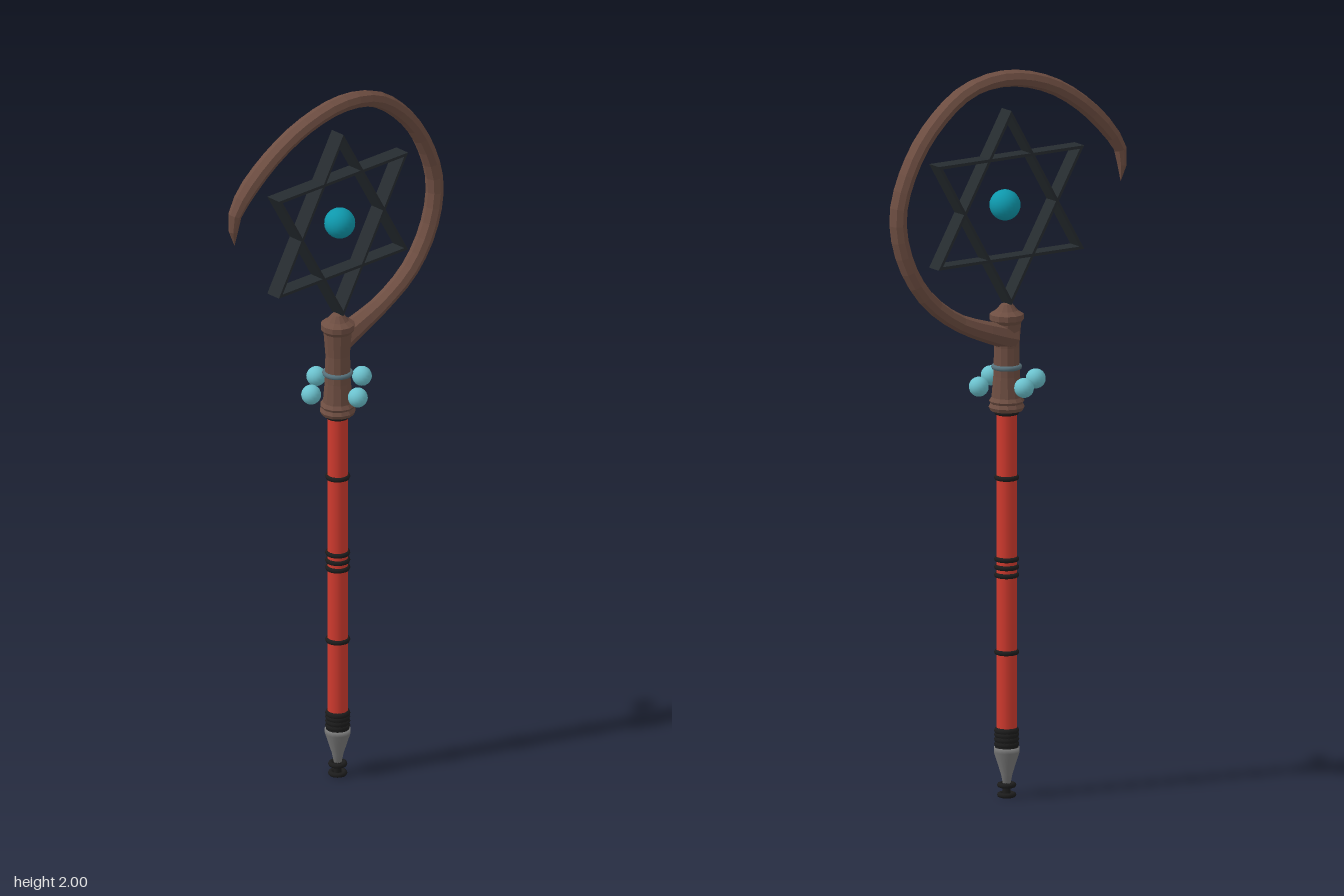
import * as THREE from 'three';

const mat = (color, flatShading = false) => new THREE.MeshStandardMaterial({ color, flatShading });
const RED = mat(0xd03a2e);
const BLACK = mat(0x1c1c1c);
const STEEL = mat(0x777777);
const WOOD = mat(0x6e4e42, true);
const IRON = mat(0x262c30, true);
const GEM = mat(0x0e98ac);
const BEAD = mat(0x6cc2ce);
const CORD = mat(0x56707a);

export function createModel() {
  const model = new THREE.Group();

  const add = (name, geometry, material, x = 0, y = 0, z = 0) => {
    const mesh = new THREE.Mesh(geometry, material);
    mesh.name = name;
    mesh.position.set(x, y, z);
    model.add(mesh);
    return mesh;
  };
  const lathe = (points, sides) =>
    new THREE.LatheGeometry(points.map(([r, y]) => new THREE.Vector2(r, y)), sides);
  const ring = (name, y, radius, tube, material) =>
    add(name, new THREE.TorusGeometry(radius, tube, 8, 24).rotateX(Math.PI / 2), material, 0, y);

  // Red shaft with dark bands
  add('shaft', new THREE.CylinderGeometry(0.028, 0.028, 0.9, 16), RED, 0, 0.62);
  for (const y of [0.4, 0.612, 0.634, 0.656, 0.88, 1.06]) ring('shaftBand', y, 0.027, 0.007, BLACK);

  // Foot: grip collar, steel point and two small discs
  for (const y of [0.147, 0.16, 0.173, 0.184]) ring('footCollar', y, 0.024, 0.01, BLACK);
  add('footCollarCore', new THREE.CylinderGeometry(0.032, 0.032, 0.05, 16), BLACK, 0, 0.163);
  add('footPoint', lathe([[0, 0.02], [0.009, 0.03], [0.016, 0.065], [0.035, 0.125], [0.035, 0.138], [0, 0.138]], 16), STEEL);
  add('footStem', new THREE.CylinderGeometry(0.011, 0.011, 0.04, 12), BLACK, 0, 0.022);
  for (const y of [0.007, 0.034]) ring('footDisc', y, 0.019, 0.007, BLACK);

  // Wooden head socket
  add('headSocket', lathe([
    [0, 1.065], [0.044, 1.065], [0.049, 1.075], [0.044, 1.085], [0.048, 1.092], [0.041, 1.102],
    [0.036, 1.16], [0.034, 1.24], [0.039, 1.305], [0.046, 1.315], [0.046, 1.33],
    [0.03, 1.34], [0.016, 1.357], [0, 1.36],
  ], 12), WOOD);

  // Curved wooden hook, a tapered sweep from the socket to the tip
  const path = new THREE.CatmullRomCurve3([
    [-0.01, 1.265, -0.005], [0.07, 1.29, -0.012], [0.177, 1.335, -0.012], [0.267, 1.41, -0.002],
    [0.328, 1.52, 0.006], [0.347, 1.645, 0.008], [0.304, 1.78, 0.005], [0.23, 1.88, 0.004],
    [0.125, 1.955, 0.006], [0, 1.976, 0.007], [-0.135, 1.945, 0.003], [-0.24, 1.88, -0.009],
    [-0.32, 1.795, -0.024], [-0.353, 1.735, -0.029], [-0.35, 1.655, -0.03],
  ].map(p => new THREE.Vector3(...p)));
  const steps = 36, sides = 8;
  const hook = new THREE.TubeGeometry(path, steps, 1, sides);
  const pos = hook.attributes.position;
  const center = new THREE.Vector3(), v = new THREE.Vector3();
  for (let i = 0; i < pos.count; i++) {
    const t = Math.floor(i / (sides + 1)) / steps;
    path.getPointAt(t, center);
    let r = 0.023 + 0.011 * Math.max(0, 1 - t / 0.12);
    if (t > 0.9) r *= Math.pow((1 - t) / 0.1, 0.5);
    v.fromBufferAttribute(pos, i).sub(center).multiplyScalar(r);
    v.z *= 1.13;
    v.add(center);
    pos.setXYZ(i, v.x, v.y, v.z);
  }
  hook.computeVertexNormals();
  add('hook', hook, WOOD);

  // Two interlocked triangular frames, deep and thin-walled
  const triangle = (Type, size, up) => {
    const pts = [0, 1, 2].map(i => {
      const a = up * Math.PI / 2 + i * Math.PI * 2 / 3;
      return new THREE.Vector2(Math.cos(a) * size, Math.sin(a) * size);
    });
    return new Type(pts);
  };
  for (const [up, y] of [[1, 1.619], [-1, 1.631]]) {
    const shape = triangle(THREE.Shape, 0.273, up);
    shape.holes.push(triangle(THREE.Path, 0.257, up));
    add('triangleFrame', new THREE.ExtrudeGeometry(shape, { depth: 0.046, bevelEnabled: false }), IRON, 0, y, -0.023);
  }

  // Central gem
  add('gem', new THREE.SphereGeometry(0.042, 20, 14), GEM, 0, 1.628, 0.008);

  // Cord and the four beads around the socket
  ring('cord', 1.185, 0.035, 0.007, CORD);
  for (const [x, z] of [[-0.087, -0.011], [0.096, -0.008], [-0.008, 0.088], [0.005, -0.09]])
    add('bead', new THREE.SphereGeometry(0.027, 16, 12), BEAD, x, 1.143, z);

  return model;
}
